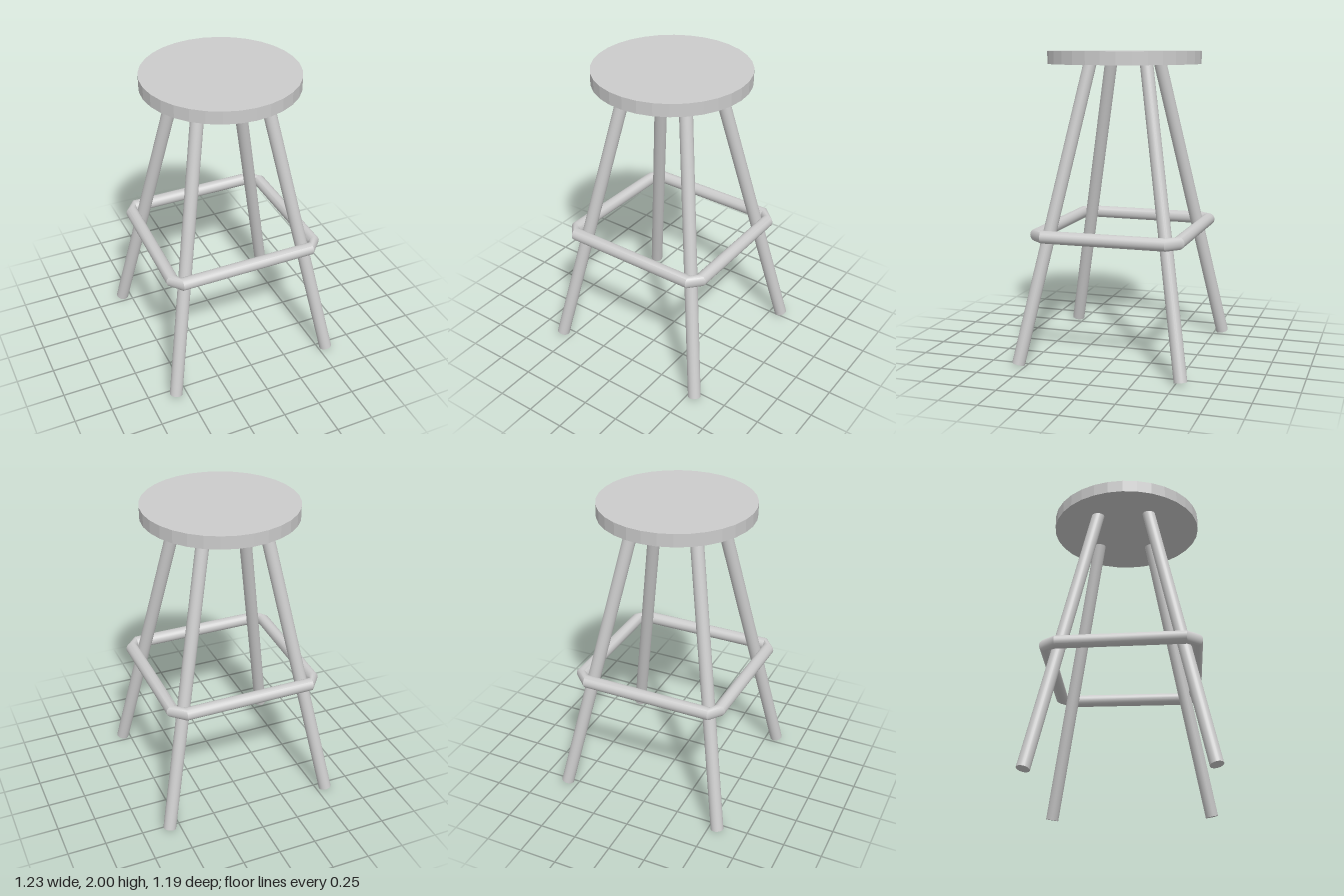
import * as THREE from 'three';
import { toCreasedNormals } from 'three/addons/utils/BufferGeometryUtils.js';

const material = new THREE.MeshStandardMaterial({ color: 0xcccccc });
const UP = new THREE.Vector3(0, 1, 0);

function addMesh(parent, name, geometry) {
  const mesh = new THREE.Mesh(geometry, material);
  mesh.name = name;
  parent.add(mesh);
  return mesh;
}

// Round rod between two points
function addRod(parent, name, from, to, radius) {
  const axis = to.clone().sub(from);
  const rod = addMesh(parent, name, new THREE.CylinderGeometry(radius, radius, axis.length(), 24));
  rod.position.copy(from).add(to).multiplyScalar(0.5);
  rod.quaternion.setFromUnitVectors(UP, axis.normalize());
}

// Closed loop of round rings, each square to its own rail, joined by bevelled corners
function ringLoop(rings, y, radius, sides) {
  const positions = [];
  const index = [];
  rings.forEach(([x, z, nx, nz], i) => {
    const next = (i + 1) % rings.length;
    for (let j = 0; j < sides; j++) {
      const a = (j / sides) * Math.PI * 2;
      const out = radius * Math.cos(a);
      positions.push(x + nx * out, y + radius * Math.sin(a), z + nz * out);
      const k = (j + 1) % sides;
      const p = i * sides + j, q = i * sides + k;
      const r = next * sides + j, s = next * sides + k;
      index.push(p, q, r, q, s, r);
    }
  });
  const geometry = new THREE.BufferGeometry();
  geometry.setAttribute('position', new THREE.Float32BufferAttribute(positions, 3));
  geometry.setIndex(index);
  return toCreasedNormals(geometry, 0.5);
}

export function createModel() {
  const model = new THREE.Group();
  model.name = 'barStool';

  // Round seat with faceted rim
  const seatGeometry = toCreasedNormals(new THREE.CylinderGeometry(0.5, 0.5, 0.083, 32), 0.1);
  addMesh(model, 'seat', seatGeometry).position.set(-0.01, 1.9585, 0.01);

  // Splayed legs: foot x, z and x, z where the leg meets the seat
  const legs = {
    frontLeftLeg: [0.55, 0.55, 0.203, 0.172],
    frontRightLeg: [-0.573, 0.55, -0.225, 0.172],
    backLeftLeg: [0.573, -0.53, 0.178, -0.193],
    backRightLeg: [-0.56, -0.553, -0.218, -0.172],
  };
  for (const [name, [fx, fz, tx, tz]] of Object.entries(legs)) {
    addRod(model, name, new THREE.Vector3(fx, 0.011, fz), new THREE.Vector3(tx, 1.925, tz), 0.042);
  }

  // Footrest: two rings per rail, as x, z and outward direction
  const rings = [
    [-0.45, -0.467, 0, -1], [0.42, -0.467, 0, -1],
    [0.484, -0.407, 1, 0], [0.484, 0.405, 1, 0],
    [0.435, 0.462, 0, 1], [-0.475, 0.462, 0, 1],
    [-0.515, 0.405, -1, 0], [-0.49, -0.407, -1, 0],
  ];
  addMesh(model, 'footrest', ringLoop(rings, 0.84, 0.041, 20));

  return model;
}
